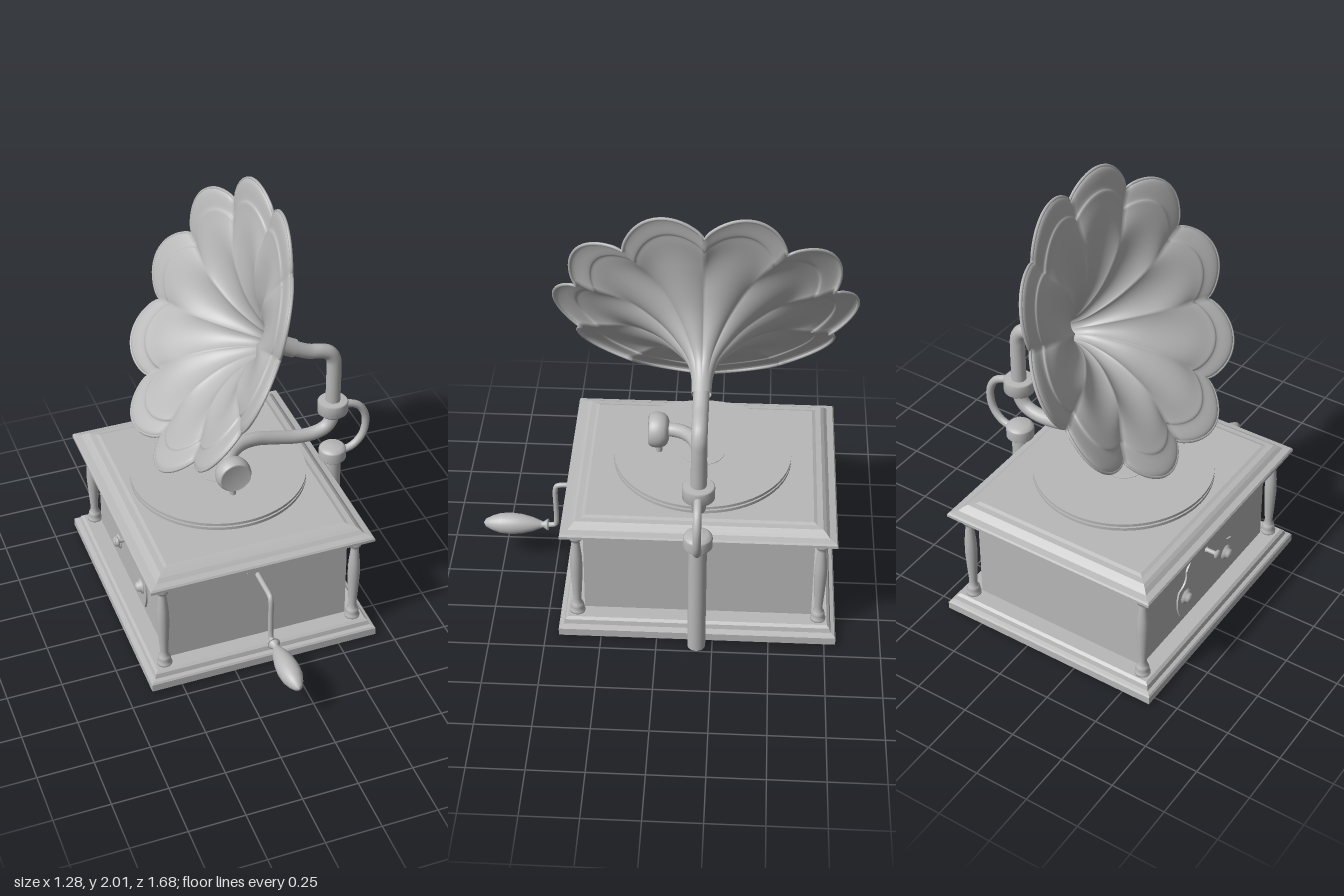
import * as THREE from 'three';

const CX = -0.105, CZ = -0.18; // centre of the cabinet
const V = (x, y, z = CZ) => new THREE.Vector3(x, y, z);

export function createModel() {
  const root = new THREE.Group();
  root.name = 'gramophone';
  const grey = new THREE.MeshStandardMaterial({ color: 0xb8b8b8, side: THREE.DoubleSide });
  grey.name = 'plain grey';

  const add = (name, geo, x = 0, y = 0, z = 0) => {
    const m = new THREE.Mesh(geo, grey);
    m.name = name;
    m.position.set(x, y, z);
    root.add(m);
    return m;
  };
  const lathe = (pts, seg = 32) =>
    new THREE.LatheGeometry(pts.map(p => new THREE.Vector2(p[0], p[1])), seg);
  const tube = (pts, r, seg = 48) =>
    new THREE.TubeGeometry(new THREE.CatmullRomCurve3(pts), seg, r, 16);

  // rectangular moulding lofted from [inset, height] levels
  function moulding(hx, hz, levels) {
    const pos = [];
    const ring = ([i, y]) => [[-1, 1], [1, 1], [1, -1], [-1, -1]]
      .map(([a, b]) => [a * (hx - i), y, b * (hz - i)]);
    const quad = (a, b, c, d) => pos.push(...a, ...b, ...c, ...a, ...c, ...d);
    for (let k = 0; k < levels.length - 1; k++) {
      const lo = ring(levels[k]), hi = ring(levels[k + 1]);
      for (let j = 0; j < 4; j++) quad(lo[j], lo[(j + 1) % 4], hi[(j + 1) % 4], hi[j]);
    }
    quad(...ring(levels[0]).reverse());
    quad(...ring(levels[levels.length - 1]));
    const g = new THREE.BufferGeometry();
    g.setAttribute('position', new THREE.Float32BufferAttribute(pos, 3));
    g.computeVertexNormals();
    return g;
  }

  // cabinet
  add('plinth', moulding(0.535, 0.62,
    [[0.006, 0], [0, 0.006], [0, 0.042], [0.006, 0.05], [0.022, 0.055], [0.028, 0.075], [0.04, 0.085]]), CX, 0, CZ);
  add('cabinet', new THREE.BoxGeometry(0.85, 0.47, 1.02), CX, 0.315, CZ);
  add('lid', moulding(0.518, 0.605,
    [[0.006, 0.544], [0, 0.549], [0, 0.562], [0.006, 0.57], [0.035, 0.575], [0.05, 0.59],
      [0.065, 0.6], [0.09, 0.602], [0.105, 0.608]]), CX, 0, CZ);

  // turned corner posts
  const post = lathe([[0, 0.08], [0.034, 0.08], [0.034, 0.095], [0.026, 0.1], [0.03, 0.115], [0.026, 0.13],
    [0.02, 0.135], [0.018, 0.16], [0.022, 0.22], [0.028, 0.33], [0.026, 0.4], [0.018, 0.48], [0.018, 0.495],
    [0.028, 0.5], [0.032, 0.515], [0.026, 0.525], [0.034, 0.53], [0.034, 0.55], [0, 0.55]], 20);
  for (const sx of [-1, 1]) for (const sz of [-1, 1])
    add('cornerPost', post, CX + sx * 0.45, 0, CZ + sz * 0.54);

  // turntable
  add('turntableHub', new THREE.CylinderGeometry(0.2, 0.2, 0.03, 48), CX, 0.615, CZ);
  add('platter', new THREE.CylinderGeometry(0.4, 0.4, 0.014, 72), CX, 0.632, CZ);
  add('platterCore', new THREE.CylinderGeometry(0.39, 0.39, 0.03, 72), CX, 0.64, CZ);
  add('record', new THREE.CylinderGeometry(0.4, 0.4, 0.013, 72), CX, 0.6535, CZ);
  add('recordLabel', new THREE.CylinderGeometry(0.1, 0.1, 0.004, 40), CX, 0.66, CZ);

  // support column, caps and bracket
  add('column', new THREE.CylinderGeometry(0.04, 0.04, 0.59, 32), 0.457, 0.295, CZ);
  add('columnCap', lathe([[0, 0.575], [0.06, 0.575], [0.064, 0.58], [0.064, 0.625], [0.06, 0.632],
    [0.045, 0.645], [0, 0.647]]), 0.457, 0, CZ);
  add('hornCollar', lathe([[0, 0.828], [0.055, 0.828], [0.055, 0.84], [0.07, 0.842], [0.07, 0.895],
    [0.064, 0.902], [0, 0.903]]), 0.452, 0, CZ);
  add('bracket', tube([V(0.46, 0.865), V(0.52, 0.866), V(0.58, 0.84), V(0.612, 0.79), V(0.619, 0.735),
    V(0.604, 0.67), V(0.56, 0.62), V(0.5, 0.602), V(0.45, 0.602)], 0.018));

  // tone arm with sound box
  add('toneArm', tube([V(0.452, 0.85), V(0.448, 0.8), V(0.42, 0.76), V(0.36, 0.738),
    V(0.27, 0.74), V(0.17, 0.762, -0.178), V(0.07, 0.787, -0.168), V(-0.01, 0.794, -0.145),
    V(-0.07, 0.788, -0.1), V(CX + 0.005, 0.78, -0.05), V(CX, 0.776, -0.01)], 0.032, 72));
  const box = add('soundBox', lathe([[0, -0.045], [0.045, -0.045], [0.062, -0.039], [0.074, -0.026], [0.08, -0.008],
    [0.081, 0.01], [0.078, 0.027], [0.072, 0.04], [0.066, 0.046], [0.062, 0.038], [0, 0.038]], 40), CX, 0.775, 0.018);
  box.rotation.x = Math.PI / 2;
  add('needleHolder', new THREE.CylinderGeometry(0.015, 0.015, 0.045, 16), CX, 0.682, 0.017);
  add('needle', new THREE.CylinderGeometry(0.006, 0.004, 0.03, 8), CX, 0.665, 0.017);

  // horn neck
  add('hornNeck', tube([V(0.452, 0.88), V(0.452, 0.98), V(0.452, 1.08), V(0.448, 1.13), V(0.428, 1.165),
    V(0.39, 1.183), V(0.33, 1.195), V(0.27, 1.222), V(0.22, 1.25)], 0.034, 64));

  // fluted horn: ten petals swept around a tilted axis, their notches set back from the rim
  const axis = V(-0.888, 0.46, 0), up = V(0.46, 0.888, 0), throat = V(0.255, 1.23);
  const hornPoint = (s, R, th) => {
    const notch = 1 - Math.pow(Math.abs(Math.sin(5 * th)), 0.8);
    const r = R * (1 - 0.13 * THREE.MathUtils.smoothstep(s, 0.04, 0.24) * notch);
    const setBack = 0.055 * THREE.MathUtils.smoothstep(R, 0.3, 0.62) * notch;
    return throat.clone().addScaledVector(axis, s - setBack).addScaledVector(up, r * Math.cos(th))
      .add(V(0, 0, r * Math.sin(th)));
  };
  const profile = new THREE.SplineCurve([[0, 0.042], [0.08, 0.046], [0.15, 0.068], [0.22, 0.125], [0.29, 0.205],
    [0.35, 0.31], [0.405, 0.43], [0.436, 0.52], [0.446, 0.55], [0.445, 0.565], [0.46, 0.61], [0.466, 0.64], [0.46, 0.66]]
    .map(p => new THREE.Vector2(...p))).getPoints(52);
  const N = 240, pos = [], idx = [];
  profile.forEach((p, i) => {
    for (let j = 0; j < N; j++) {
      pos.push(...hornPoint(p.x, p.y, j / N * Math.PI * 2).toArray());
      if (i === 0) continue;
      const a = (i - 1) * N + j, b = (i - 1) * N + (j + 1) % N;
      idx.push(a, b, a + N, b, b + N, a + N);
    }
  });
  const horn = new THREE.BufferGeometry();
  horn.setAttribute('position', new THREE.Float32BufferAttribute(pos, 3));
  horn.setIndex(idx);
  horn.computeVertexNormals();
  add('horn', horn);
  const rim = [];
  for (let j = 0; j < N; j++) rim.push(hornPoint(0.46, 0.655, j / N * Math.PI * 2));
  add('hornRim', new THREE.TubeGeometry(new THREE.CatmullRomCurve3(rim, true), N, 0.007, 6, true));

  // winding crank
  const flange = add('crankFlange', new THREE.CylinderGeometry(0.05, 0.05, 0.004, 32), CX, 0.445, 0.331);
  flange.rotation.x = Math.PI / 2;
  add('crank', tube([V(CX, 0.44, 0.32), V(CX, 0.44, 0.4), V(CX, 0.44, 0.47), V(CX, 0.433, 0.49),
    V(CX, 0.41, 0.497), V(CX, 0.32, 0.497), V(CX, 0.235, 0.497), V(CX, 0.21, 0.503), V(CX, 0.203, 0.525),
    V(CX, 0.203, 0.57)], 0.012, 64));
  const grip = add('crankHandle', lathe([[0, 0.535], [0.028, 0.535], [0.026, 0.542], [0.014, 0.56], [0.02, 0.575],
    [0.034, 0.61], [0.046, 0.66], [0.051, 0.71], [0.047, 0.76], [0.034, 0.8], [0.018, 0.83], [0, 0.84]]), CX, 0.203, 0);
  grip.rotation.x = Math.PI / 2;

  // side plate with an arched top, two low bosses and a catch
  const s = new THREE.Shape();
  s.moveTo(-0.2, 0.12);
  s.quadraticCurveTo(0, 0.17, 0.2, 0.12);
  s.quadraticCurveTo(0.25, 0.2, 0.22, 0.28);
  s.quadraticCurveTo(0.15, 0.29, 0.16, 0.36);
  s.quadraticCurveTo(0.1, 0.44, 0, 0.44);
  s.quadraticCurveTo(-0.1, 0.44, -0.16, 0.36);
  s.quadraticCurveTo(-0.15, 0.29, -0.22, 0.28);
  s.quadraticCurveTo(-0.25, 0.2, -0.2, 0.12);
  const plate = add('sidePlate', new THREE.ExtrudeGeometry(s, { depth: 0.008, bevelEnabled: false }), -0.53, 0, CZ);
  plate.rotation.y = -Math.PI / 2;
  const boss = lathe([[0, 0], [0.036, 0], [0.036, 0.012], [0.024, 0.016], [0.022, 0.03], [0.012, 0.036], [0, 0.038]], 20);
  for (const side of [-1, 1])
    add('plateBoss', boss, -0.532, 0.225, CZ + side * 0.17).rotation.z = Math.PI / 2;
  add('plateCatch', lathe([[0, 0], [0.018, 0], [0.01, 0.012], [0.01, 0.055], [0.021, 0.058], [0.021, 0.066],
    [0.012, 0.072], [0, 0.073]], 20), -0.532, 0.37, CZ).rotation.z = Math.PI / 2;

  return root;
}
